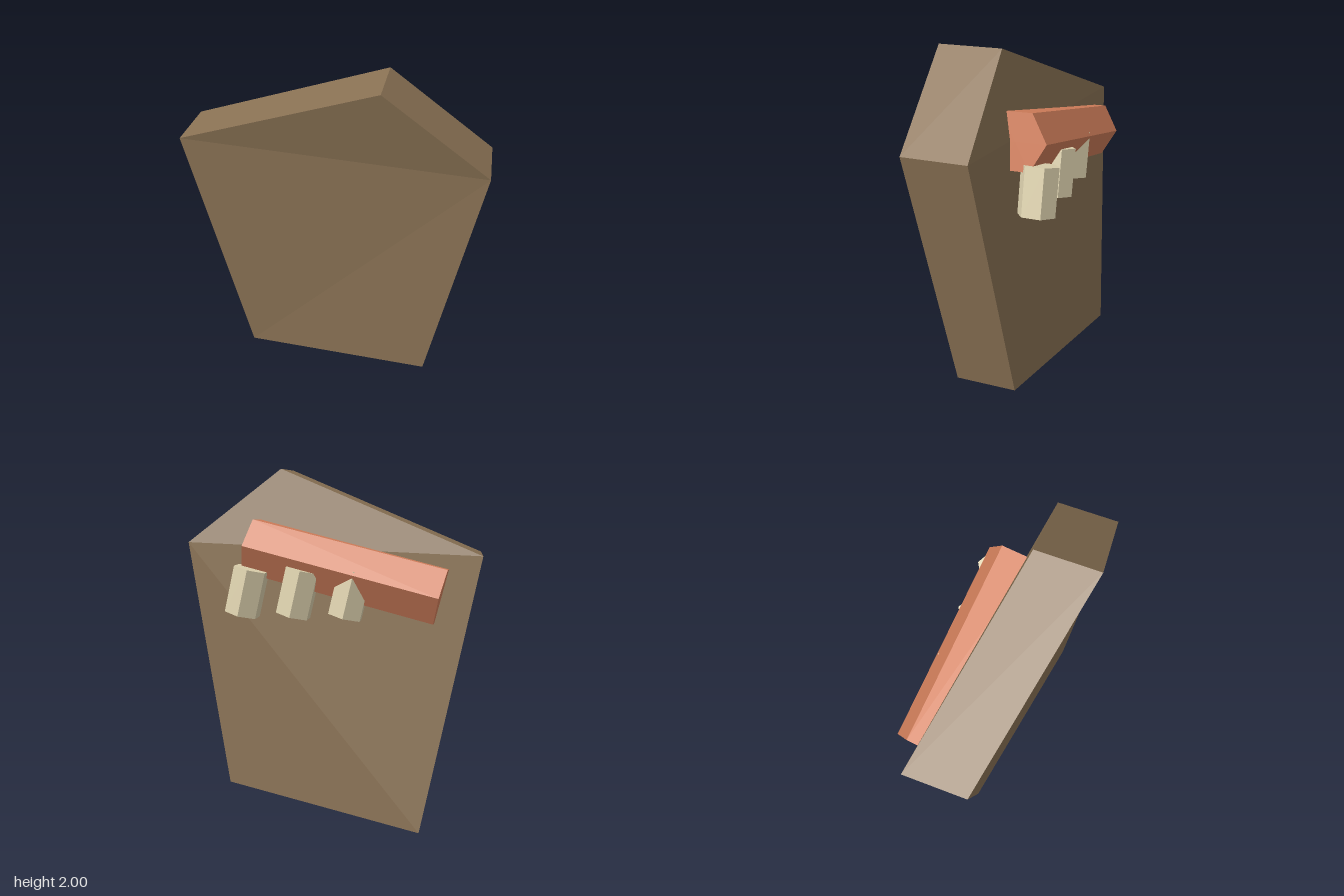
import * as THREE from 'three';

const flat = (name, color) => new THREE.MeshStandardMaterial({ name, color, flatShading: true });

// Five-cornered slab: slightly warped outline given depth along z
function slabGeometry(outline, depth) {
  const n = outline.length;
  const points = [...outline, ...outline.map(([x, y, z]) => [x, y, z - depth])];
  const index = [];
  for (const [a, b, c] of [[0, 1, 2], [2, 3, 4], [0, 2, 4]]) {
    index.push(a, b, c, n + c, n + b, n + a);
  }
  for (let i = 0; i < n; i++) {
    const j = (i + 1) % n;
    index.push(i, n + i, n + j, i, n + j, j);
  }
  const indexed = new THREE.BufferGeometry();
  indexed.setAttribute('position', new THREE.Float32BufferAttribute(points.flat(), 3));
  indexed.setIndex(index);
  const geometry = indexed.toNonIndexed();
  geometry.computeVertexNormals();
  return geometry;
}

export function createModel() {
  const brown = flat('brown', 0x8b7355);
  const terracotta = flat('terracotta', 0xd4805c);
  const cream = flat('cream', 0xe0d4b0);
  const group = new THREE.Group();
  const add = (name, geometry, material) => {
    const mesh = new THREE.Mesh(geometry, material);
    mesh.name = name;
    group.add(mesh);
    return mesh;
  };

  // Slab
  add('slab', slabGeometry([
    [-0.55, 0, 0], [0.595, 0.15, 0.21], [0.85, 1.58, 0.335],
    [0.295, 2, 0.375], [-0.85, 1.535, 0.12],
  ], 0.35), brown);

  // Hexagonal bar half sunk into the back, one edge pointing away from the slab
  const span = new THREE.Vector3(1.08, 0.255, 0.11);
  const axis = span.clone().normalize();
  const side = axis.clone().cross(new THREE.Vector3(0.025, 0.01, -0.175)).normalize();
  const ridge = side.clone().cross(axis);
  const bar = add('bar', new THREE.CylinderGeometry(0.173, 0.173, span.length(), 6), terracotta);
  bar.quaternion.setFromRotationMatrix(new THREE.Matrix4().makeBasis(side, axis, ridge));
  bar.position.set(-0.1, 1.443, -0.15);

  // Three leaning hexagonal pegs under the bar
  const pegGeometry = new THREE.CylinderGeometry(0.103, 0.103, 0.263, 6);
  for (let i = 0; i < 3; i++) {
    const peg = add('peg' + (i + 1), pegGeometry, cream);
    peg.position.set(0.443 - i * 0.293, 1.322, -0.22);
    peg.rotation.z = 0.23;
  }
  return group;
}
